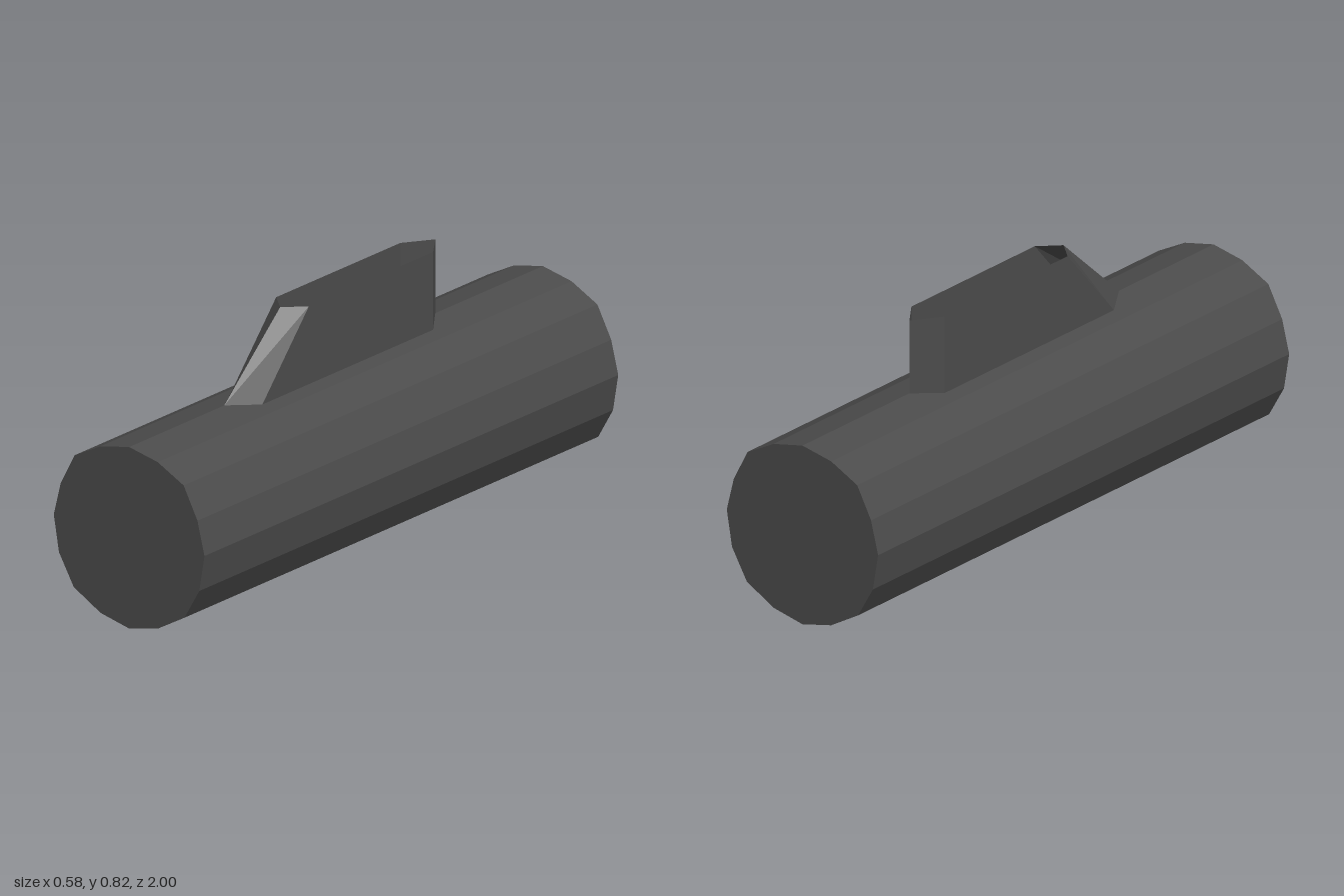
import * as THREE from 'three';

export function createModel() {
  const model = new THREE.Group();
  const darkGrey = new THREE.MeshStandardMaterial({ color: 0x4b4b4b, flatShading: true });
  darkGrey.name = 'darkGrey';
  const sheetGrey = new THREE.MeshStandardMaterial({ color: 0x4b4b4b, flatShading: true, side: THREE.DoubleSide });
  sheetGrey.name = 'darkGreySheet';

  // Faceted hull: half section from top to bottom, mirrored across x
  const half = [
    [0, 0.583], [0.11, 0.56], [0.21, 0.508], [0.263, 0.407], [0.29, 0.3],
    [0.27, 0.183], [0.213, 0.084], [0.11, 0.025], [0, 0],
  ];
  const mirrored = half.slice(1, -1).reverse().map(([x, y]) => [-x, y]);
  const section = new THREE.Shape([...half, ...mirrored].map(([x, y]) => new THREE.Vector2(x, y)));
  const hullGeometry = new THREE.ExtrudeGeometry(section, { depth: 2, bevelEnabled: false });
  hullGeometry.translate(0, 0, -1);
  const hull = new THREE.Mesh(hullGeometry, darkGrey);
  hull.name = 'hull';
  model.add(hull);

  // Open-topped tower: pointed plan with a raked prow, walls only
  const w = 0.063;
  const plan = [ // x, bottom y, bottom z, top z
    [0, 0.583, 0.54, 0.27], [w, 0.57, 0.435, 0.21], [w, 0.57, -0.39, -0.39],
    [0, 0.583, -0.48, -0.48], [-w, 0.57, -0.39, -0.39], [-w, 0.57, 0.435, 0.21],
  ];
  const top = 0.82;
  const positions = [];
  plan.forEach(([x, y, z, tz], i) => {
    const [nx, ny, nz, ntz] = plan[(i + 1) % plan.length];
    positions.push(x, y, z, nx, ny, nz, nx, top, ntz);
    positions.push(x, y, z, nx, top, ntz, x, top, tz);
  });
  const towerGeometry = new THREE.BufferGeometry();
  towerGeometry.setAttribute('position', new THREE.Float32BufferAttribute(positions, 3));
  towerGeometry.computeVertexNormals();
  const tower = new THREE.Mesh(towerGeometry, sheetGrey);
  tower.name = 'tower';
  model.add(tower);

  return model;
}
